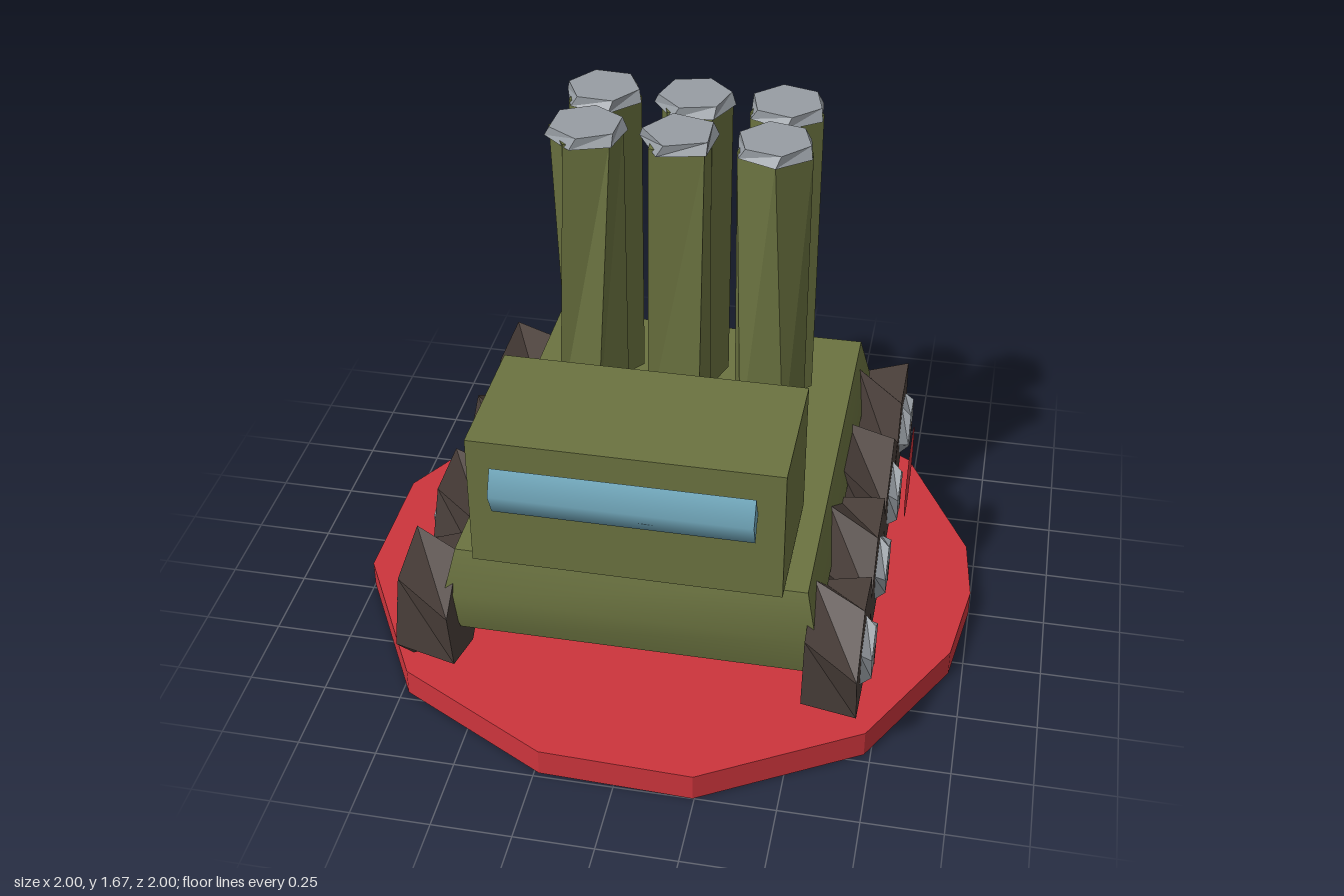
import * as THREE from 'three';
import { toCreasedNormals } from 'three/addons/utils/BufferGeometryUtils.js';

const paint = (name, color, side = THREE.FrontSide) => {
  const m = new THREE.MeshStandardMaterial({ color, side });
  m.name = name;
  return m;
};

function part(parent, name, geometry, material, x = 0, y = 0, z = 0) {
  const mesh = new THREE.Mesh(geometry, material);
  mesh.name = name;
  mesh.position.set(x, y, z);
  parent.add(mesh);
  return mesh;
}

// Faceted prism, its top ring turned by twist against the bottom ring
function twistedPrism(rTop, rBottom, height, sides, turn = 0, twist = 0) {
  const g = new THREE.CylinderGeometry(rTop, rBottom, height, sides, 1, false, turn);
  const p = g.attributes.position;
  for (let i = 0; i < p.count; i++) {
    if (p.getY(i) < 0) continue;
    const x = p.getX(i), z = p.getZ(i), c = Math.cos(twist), s = Math.sin(twist);
    p.setXYZ(i, x * c + z * s, p.getY(i), z * c - x * s);
  }
  const flat = g.toNonIndexed();
  flat.computeVertexNormals();
  return flat;
}

export function createModel() {
  const model = new THREE.Group();
  model.name = 'launcherTruck';
  const olive = paint('olive paint', 0x6b7340);
  const red = paint('red', 0xcc343c);
  const redSheet = paint('red sheet', 0xcc343c, THREE.DoubleSide);
  const rubber = paint('dark rubber', 0x4a3f3a);
  const metal = paint('grey metal', 0x979da3);
  const glass = paint('blue glass', 0x74abbf);

  // Irregular round base plate
  const rim = [
    [-0.225, -0.99], [0, -1], [0.28, -0.97], [0.73, -0.7], [0.97, -0.24], [1, 0], [0.957, 0.305],
    [0.73, 0.72], [0.245, 1], [-0.235, 0.985], [-0.73, 0.72], [-1, 0.23], [-1, -0.225], [-0.73, -0.695],
  ];
  const outline = new THREE.Shape(rim.map(([x, z]) => new THREE.Vector2(x, -z)));
  const plate = new THREE.ExtrudeGeometry(outline, { depth: 0.09, bevelEnabled: false });
  plate.rotateX(-Math.PI / 2);
  part(model, 'basePlate', plate, red);

  const truck = new THREE.Group();
  truck.name = 'truck';
  truck.position.x = -0.01;
  model.add(truck);

  // Chassis: a box bulging at mid height
  const hull = new THREE.BoxGeometry(1.08, 0.31, 1.37, 1, 2, 1);
  const hp = hull.attributes.position;
  for (let i = 0; i < hp.count; i++) {
    if (Math.abs(hp.getY(i)) > 0.01) continue;
    hp.setX(i, Math.sign(hp.getX(i)) * 0.575);
    hp.setZ(i, Math.sign(hp.getZ(i)) * 0.725);
  }
  part(truck, 'chassis', toCreasedNormals(hull, 0.75), olive, 0, 0.435, 0);

  // Cabin and its diamond-section windscreen
  part(truck, 'cabin', new THREE.BoxGeometry(0.94, 0.44, 0.45), olive, 0, 0.82, 0.505);
  const screen = new THREE.CylinderGeometry(1, 1, 0.78, 4);
  screen.rotateZ(Math.PI / 2);
  screen.scale(1, 0.078, 0.036);
  part(truck, 'windscreen', screen, glass, 0, 0.898, 0.765);

  // Launch tubes: x, z, sides, turn, twist
  const tubes = [
    [-0.285, -0.35, 5, 0.3, 0], [0.005, -0.35, 5, 0.63, 0], [0.295, -0.35, 5, 0.1, 0],
    [-0.285, -0.095, 5, 0.35, 0.5], [0.005, -0.095, 4, 0.72, 0.12], [0.295, -0.095, 5, 0.6, -0.45],
  ];
  for (const [x, z, sides, turn, twist] of tubes) {
    part(truck, 'launchTube', twistedPrism(0.12, 0.12, 1.01, sides, turn, twist), olive, x, 1.135, z);
    const capSides = sides === 4 ? 5 : 6;
    part(truck, 'tubeCap', twistedPrism(0.115, 0.128, 0.035, capSides, turn + twist, 0.15), metal, x, 1.648, z);
  }

  // Wheels: z, sides, turn, twist
  const wheels = [[0.6, 6, 0.35, 0.5], [0.2, 6, 0.52, 0.5], [-0.185, 5, 0.3, 0.6], [-0.585, 5, 0.94, 0.63]];
  const notchShape = new THREE.Shape([
    new THREE.Vector2(-0.012, 0.005), new THREE.Vector2(0, -0.065), new THREE.Vector2(0.012, 0.005),
  ]);
  for (const side of [1, -1]) {
    for (const [z, sides, turn, twist] of wheels) {
      const wheel = new THREE.Group();
      wheel.name = side > 0 ? 'leftWheel' : 'rightWheel';
      wheel.position.set(side * 0.627, 0.33, z);
      if (side < 0) wheel.rotation.y = Math.PI;
      truck.add(wheel);
      const tyre = twistedPrism(0.215, 0.215, 0.165, sides, turn, twist);
      part(wheel, 'tyre', tyre.rotateZ(-Math.PI / 2), rubber);
      const hub = twistedPrism(0.09, 0.115, 0.035, 5, turn + 0.4, 0.2);
      part(wheel, 'hub', hub.rotateZ(-Math.PI / 2), metal, 0.097);
      const notch = new THREE.ExtrudeGeometry(notchShape, { depth: 0.004, bevelEnabled: false });
      part(wheel, 'hubNotch', notch.rotateY(Math.PI / 2), rubber, 0.113);
    }
  }

  // Red round marker standing beside the left wheels
  const disc = new THREE.CircleGeometry(0.15, 16).rotateY(Math.PI / 2);
  part(model, 'sideMarker', disc, redSheet, 0.76, 0.483, -0.105);

  return model;
}
